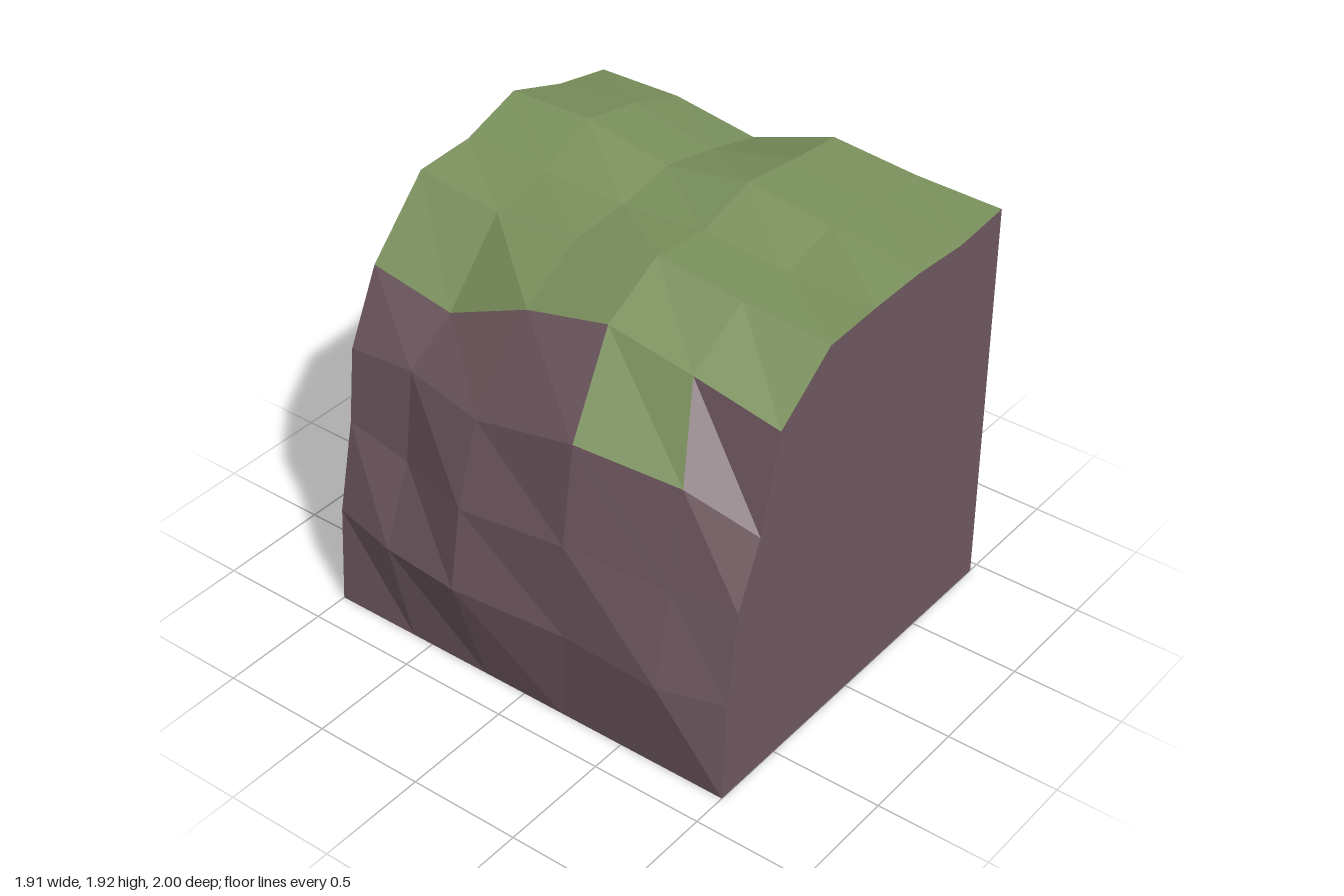
import * as THREE from 'three';

// Grid lines of the block: depth sections and columns of the grassy top
const depths = [-1, -0.6, -0.2, 0.2, 0.6, 1];
const bulgeDepths = [-1, -0.68, -0.26, 0.27, 0.72, 1];
const topX = [-0.52, -0.22, 0.07, 0.36, 0.66, 0.95];
const baseX = -0.84;

// One cross-section per depth, back to front: rock face points [x, y], then top heights
const sections = [
  { rock: [[-0.81, 0.45], [-0.72, 0.85], [-0.68, 1.19]], top: [1.51, 1.81, 1.825, 1.92, 1.825, 1.77] },
  { rock: [[-0.88, 0.44], [-0.735, 0.8], [-0.68, 1.215]], top: [1.44, 1.76, 1.82, 1.925, 1.87, 1.775] },
  { rock: [[-0.96, 0.49], [-0.895, 0.85], [-0.775, 1.215]], top: [1.615, 1.79, 1.8, 1.85, 1.79, 1.715] },
  { rock: [[-0.905, 0.48], [-0.895, 0.92], [-0.825, 1.36]], top: [1.71, 1.865, 1.835, 1.917, 1.88, 1.855] },
  { rock: [[-0.905, 0.455], [-0.81, 0.87], [-0.735, 1.305]], top: [1.645, 1.82, 1.8, 1.865, 1.85, 1.82] },
  { rock: [[-0.82, 0.46], [-0.76, 0.87], [-0.63, 1.15]], top: [1.57, 1.785, 1.8, 1.805, 1.785, 1.81] },
];

// Full profile of each section, from the foot of the rock up and across the top
const profiles = sections.map(({ rock, top }, j) => [
  [baseX, 0, depths[j]],
  ...rock.map(([x, y]) => [x, y, bulgeDepths[j]]),
  ...top.map((y, i) => [topX[i], y, depths[j]]),
]);

// Faceted skin over the grid cells chosen by the filter
function skin(name, material, wanted) {
  const positions = [];
  for (let j = 0; j < 5; j++) {
    for (let k = 0; k < 9; k++) {
      if (!wanted(k, j)) continue;
      const a = profiles[j][k], b = profiles[j][k + 1];
      const c = profiles[j + 1][k + 1], d = profiles[j + 1][k];
      positions.push(...a, ...d, ...b, ...d, ...c, ...b);
    }
  }
  const geometry = new THREE.BufferGeometry();
  geometry.setAttribute('position', new THREE.Float32BufferAttribute(positions, 3));
  geometry.computeVertexNormals();
  const mesh = new THREE.Mesh(geometry, material);
  mesh.name = name;
  return mesh;
}

// Flat cut wall from an outline, turned to face outwards
function wall(name, material, outline, angle, x, z) {
  const shape = new THREE.Shape(outline.map(([u, v]) => new THREE.Vector2(u, v)));
  const mesh = new THREE.Mesh(new THREE.ShapeGeometry(shape), material);
  mesh.name = name;
  mesh.rotation.y = angle;
  mesh.position.set(x, 0, z);
  return mesh;
}

export function createModel() {
  const group = new THREE.Group();
  group.name = 'grassyCliffBlock';

  const rock = new THREE.MeshStandardMaterial({ color: 0x6e585f, side: THREE.DoubleSide, flatShading: true });
  rock.name = 'rock';
  const grass = new THREE.MeshStandardMaterial({ color: 0x7a905c, side: THREE.DoubleSide, flatShading: true });
  grass.name = 'grass';

  // Grass covers the top and spills over one ledge cell of the rock face
  const isGrass = (k, j) => k >= 4 || (k === 3 && j === 3);
  group.add(skin('grassTop', grass, isGrass));
  group.add(skin('rockFace', rock, (k, j) => !isGrass(k, j)));

  // Cut walls; the underside stays open
  const right = topX[5];
  const front = [...profiles[5], [right, 0]];
  const back = [...profiles[0], [right, 0]].map(([x, y]) => [-x, y]);
  const side = [[-1, 0], ...profiles.map((p, j) => [-depths[j], p[9][1]]).reverse(), [1, 0]];
  group.add(wall('frontWall', rock, front, 0, 0, 1));
  group.add(wall('backWall', rock, back, Math.PI, 0, -1));
  group.add(wall('sideWall', rock, side, Math.PI / 2, right, 0));

  return group;
}
